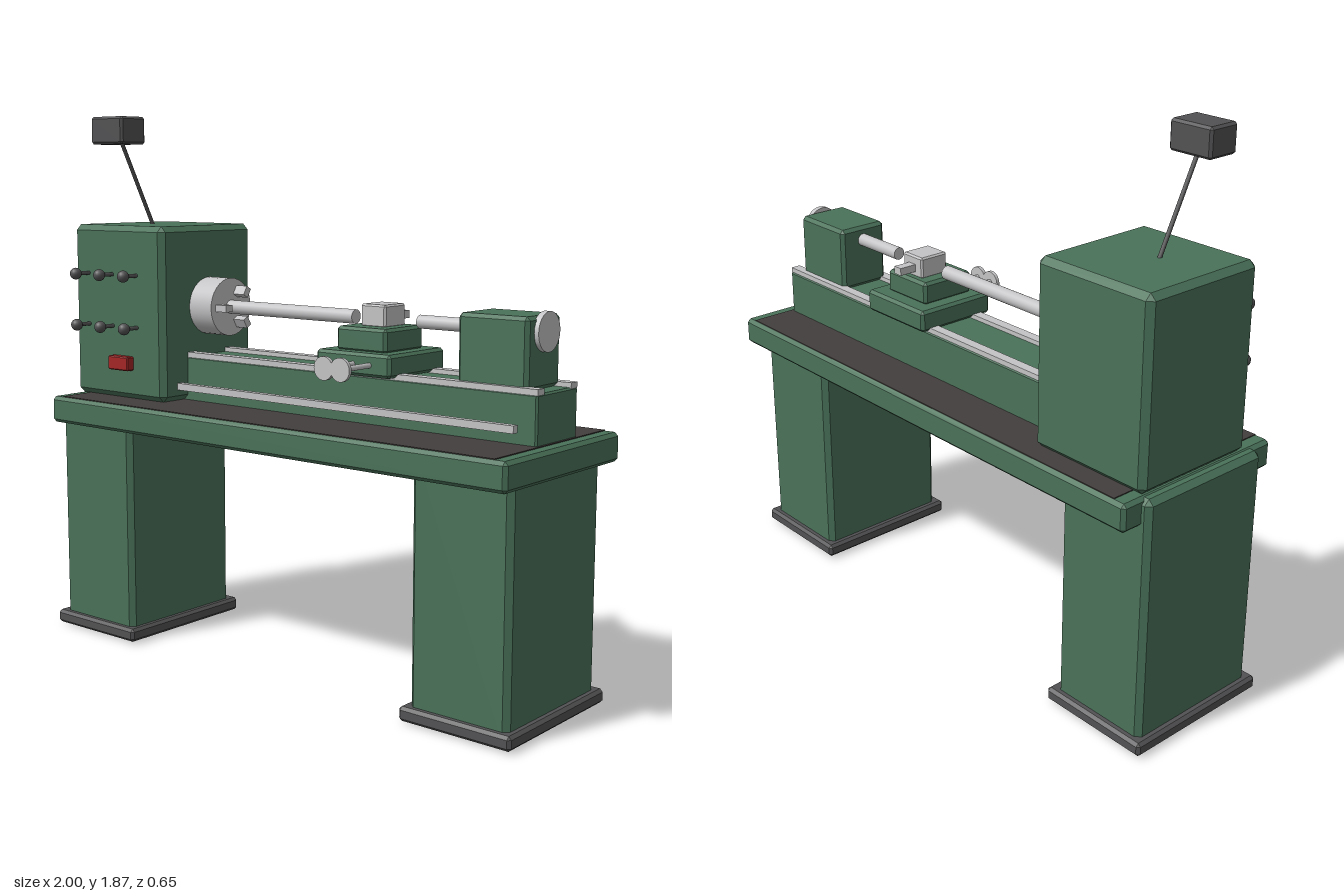
import * as THREE from 'three';
import { ConvexGeometry } from 'three/addons/geometries/ConvexGeometry.js';

const material = (name, color) => {
  const m = new THREE.MeshStandardMaterial({ color });
  m.name = name;
  return m;
};

export function createModel() {
  const green = material('machine green', 0x4a7259);
  const dark = material('dark grey', 0x525254);
  const steel = material('bright steel', 0xc4c4c6);
  const floor = material('tray floor brown', 0x443e3e);
  const red = material('switch red', 0xa52626);

  const model = new THREE.Group();
  model.name = 'lathe';

  const add = (name, geometry, mat) => {
    const mesh = new THREE.Mesh(geometry, mat);
    mesh.name = name;
    model.add(mesh);
    return mesh;
  };

  // Box given by its limits on each axis, with chamfered edges of width c
  const box = (name, mat, [x0, x1], [y0, y1], [z0, z1], c = 0) => {
    const half = [(x1 - x0) / 2, (y1 - y0) / 2, (z1 - z0) / 2];
    let geometry;
    if (c === 0) {
      geometry = new THREE.BoxGeometry(half[0] * 2, half[1] * 2, half[2] * 2);
    } else {
      const points = [];
      for (const sx of [-1, 1]) for (const sy of [-1, 1]) for (const sz of [-1, 1]) {
        for (let axis = 0; axis < 3; axis++) {
          const h = half.map((v, i) => (i === axis ? v : v - c));
          points.push(new THREE.Vector3(sx * h[0], sy * h[1], sz * h[2]));
        }
      }
      geometry = new ConvexGeometry(points);
    }
    const mesh = add(name, geometry, mat);
    mesh.position.set((x0 + x1) / 2, (y0 + y1) / 2, (z0 + z1) / 2);
    return mesh;
  };

  // Round bar between two points
  const rod = (name, mat, from, to, radius, sides = 24) => {
    const a = new THREE.Vector3(...from);
    const b = new THREE.Vector3(...to);
    const mesh = add(name, new THREE.CylinderGeometry(radius, radius, a.distanceTo(b), sides), mat);
    mesh.position.copy(a).add(b).multiplyScalar(0.5);
    mesh.quaternion.setFromUnitVectors(new THREE.Vector3(0, 1, 0), b.sub(a).normalize());
    return mesh;
  };

  // Pedestals on wide feet
  for (const [side, x] of [['right', -0.797], ['left', 0.793]]) {
    box(side + 'Leg', green, [x - 0.179, x + 0.179], [0, 0.87], [-0.253, 0.253], 0.018);
    box(side + 'Foot', dark, [x - 0.203, x + 0.203], [0.006, 0.053], [-0.277, 0.277], 0.01);
  }

  // Chip tray with its dark floor
  box('tray', green, [-0.947, 0.997], [0.78, 0.874], [-0.327, 0.327], 0.012);
  box('trayFloor', floor, [-0.896, 0.95], [0.869, 0.877], [-0.315, 0.315]);

  // Bed, guide rails and feed rod
  box('bed', green, [-0.6, 0.943], [0.87, 1.032], [-0.152, 0.08], 0.006);
  for (const z of [-0.13, 0.06]) {
    box('guideRail', steel, [-0.55, 0.943], [1.028, 1.047], [z - 0.018, z + 0.018]);
  }
  box('feedRod', steel, [-0.55, 0.895], [0.917, 0.941], [0.108, 0.132]);

  // Headstock with control knobs and switch
  box('headstock', green, [-0.95, -0.495], [0.876, 1.491], [-0.256, 0.202], 0.02);
  for (const x of [-0.87, -0.746, -0.623]) {
    for (const y of [1.134, 1.318]) {
      rod('knobStem', dark, [x, y, 0.19], [x, y, 0.265], 0.007, 10);
      add('knob', new THREE.SphereGeometry(0.021, 16, 12), dark).position.set(x, y, 0.265);
    }
  }
  box('powerSwitch', red, [-0.746, -0.645], [0.98, 1.03], [0.19, 0.232], 0.004);

  // Work lamp on a slanted arm
  rod('lampArm', dark, [-0.746, 1.48, -0.005], [-0.746, 1.8, 0.155], 0.007, 10);
  box('lampHead', dark, [-0.826, -0.666], [1.774, 1.87], [0.104, 0.22], 0.008);

  // Spindle line: chuck, jaws, workpiece, quill
  const axisY = 1.206, axisZ = -0.034;
  rod('chuck', steel, [-0.52, axisY, axisZ], [-0.39, axisY, axisZ], 0.102, 32);
  for (let i = 0; i < 3; i++) {
    const angle = (i * Math.PI * 2) / 3;
    const y = axisY + 0.062 * Math.sin(angle);
    const z = axisZ + 0.062 * Math.cos(angle);
    const jaw = box('chuckJaw', steel, [-0.4, -0.34], [y - 0.012, y + 0.012], [z - 0.017, z + 0.017]);
    jaw.rotation.x = -angle;
  }
  rod('workpiece', steel, [-0.4, axisY, axisZ], [0.175, axisY, axisZ], 0.024);
  rod('tailstockQuill', steel, [0.435, axisY, axisZ], [0.66, axisY, axisZ], 0.022);

  // Tailstock and handwheel
  box('tailstock', green, [0.644, 0.895], [1.032, 1.255], [-0.126, 0.062], 0.012);
  rod('tailstockHandwheel', steel, [0.89, axisY, axisZ], [0.91, axisY, axisZ], 0.062, 28);

  // Carriage, cross slide, tool post and cutting tool
  box('saddle', green, [0.13, 0.43], [1.035, 1.11], [-0.18, 0.12], 0.01);
  box('crossSlide', green, [0.18, 0.382], [1.105, 1.185], [-0.126, 0.077], 0.01);
  box('toolPost', steel, [0.23, 0.33], [1.18, 1.255], [-0.098, 0.012], 0.006);
  box('cuttingTool', steel, [0.264, 0.298], [1.2, 1.226], [-0.162, -0.08]);

  // Carriage handwheels
  for (const x of [0.284, 0.35]) {
    rod('handwheelShaft', steel, [x, 1.073, 0.1], [x, 1.073, 0.26], 0.009, 12);
    rod('carriageHandwheel', steel, [x, 1.073, 0.256], [x, 1.073, 0.268], 0.038);
  }

  return model;
}
